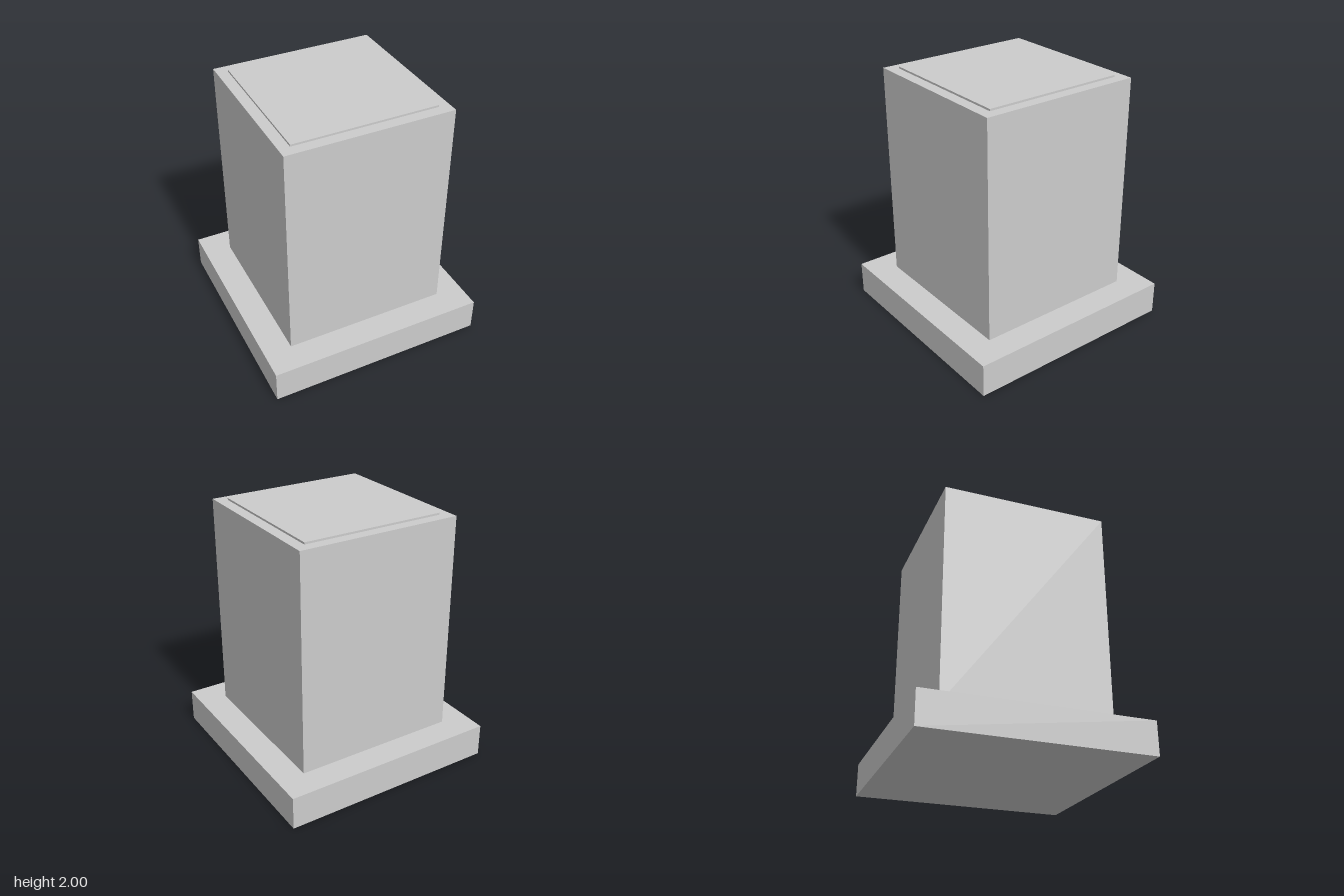
import * as THREE from 'three';

export function createModel() {
  const group = new THREE.Group();
  const material = new THREE.MeshStandardMaterial({ color: 0xcccccc, flatShading: true });

  // Square slab of a given width between two heights
  function addSlab(name, width, bottom, top) {
    const mesh = new THREE.Mesh(new THREE.BoxGeometry(width, top - bottom, width), material);
    mesh.name = name;
    mesh.position.y = (bottom + top) / 2;
    group.add(mesh);
  }

  addSlab('base', 1.72, 0, 0.26);
  addSlab('column', 1.29, 0.26, 1.985);
  addSlab('topPlate', 1.12, 1.985, 2);

  return group;
}
